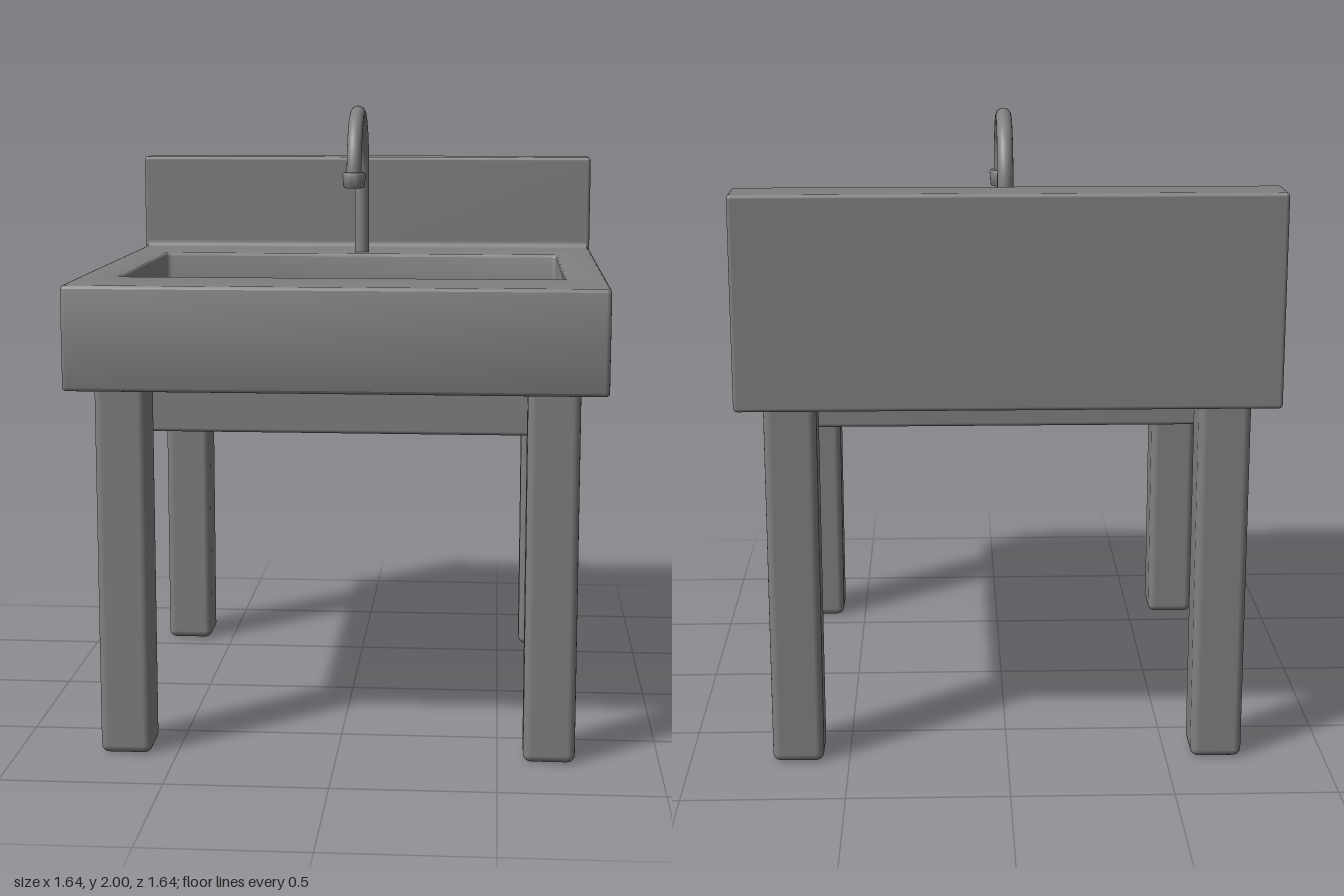
import * as THREE from 'three';
import { toCreasedNormals } from 'three/addons/utils/BufferGeometryUtils.js';
import { RoundedBoxGeometry } from 'three/addons/geometries/RoundedBoxGeometry.js';

// Rounded rectangle in the (x, -z) plane
function roundRect(target, x0, x1, z0, z1, r) {
  const y0 = -z1, y1 = -z0;
  target.moveTo(x0 + r, y0);
  target.lineTo(x1 - r, y0).quadraticCurveTo(x1, y0, x1, y0 + r);
  target.lineTo(x1, y1 - r).quadraticCurveTo(x1, y1, x1 - r, y1);
  target.lineTo(x0 + r, y1).quadraticCurveTo(x0, y1, x0, y1 - r);
  target.lineTo(x0, y0 + r).quadraticCurveTo(x0, y0, x0 + r, y0);
  return target;
}

// Horizontal slab with a rectangular opening and softened edges
function slabWithHole(outer, hole, y0, y1, bevel) {
  const shape = roundRect(new THREE.Shape(), ...outer, 0.015);
  shape.holes.push(roundRect(new THREE.Path(), ...hole, 0.015));
  const geo = new THREE.ExtrudeGeometry(shape, {
    depth: y1 - y0 - 2 * bevel, curveSegments: 4,
    bevelEnabled: true, bevelSize: bevel, bevelThickness: bevel, bevelOffset: -bevel, bevelSegments: 3,
  });
  geo.rotateX(-Math.PI / 2).translate(0, y0 + bevel, 0);
  return toCreasedNormals(geo, 0.65);
}

// Rounded box given by its limits
function block(x0, x1, y0, y1, z0, z1, r) {
  return new RoundedBoxGeometry(x1 - x0, y1 - y0, z1 - z0, 3, r)
    .translate((x0 + x1) / 2, (y0 + y1) / 2, (z0 + z1) / 2);
}

export function createModel() {
  const model = new THREE.Group();
  model.name = 'utilitySink';
  const grey = new THREE.MeshStandardMaterial({ color: 0x808080 });
  grey.name = 'grey';
  const add = (name, geo, parent = model) => {
    const mesh = new THREE.Mesh(geo, grey);
    mesh.name = name;
    parent.add(mesh);
    return mesh;
  };

  // Counter, basin and backsplash
  add('counter', slabWithHole([-0.82, 0.82, -0.74, 0.82], [-0.69, 0.69, -0.365, 0.525], 1.16, 1.48, 0.01));
  add('backsplash', block(-0.82, 0.82, 1.16, 1.81, -0.82, -0.66, 0.012));
  add('basinFloor', slabWithHole([-0.72, 0.72, -0.39, 0.55], [-0.2, 0.2, -0.24, -0.005], 1.2, 1.24, 0.006));
  add('basinUnderside', block(-0.69, 0.69, 0.99, 1.2, -0.36, 0.53, 0.012));

  // Small cove where the backsplash meets the counter
  const cove = new THREE.Shape();
  cove.moveTo(0, 0).lineTo(0.022, 0).quadraticCurveTo(0, 0, 0, 0.022);
  const coveGeo = new THREE.ExtrudeGeometry(cove, { depth: 1.62, bevelEnabled: false, curveSegments: 5 });
  coveGeo.rotateY(-Math.PI / 2).translate(0.81, 1.48, -0.66);
  add('cove', toCreasedNormals(coveGeo, 0.65));

  // Legs
  const legGeo = block(-0.08, 0.08, 0, 1.2, -0.08, 0.08, 0.025);
  for (const [sx, side] of [[1, 'Left'], [-1, 'Right']]) {
    for (const [sz, end] of [[1, 'front'], [-1, 'back']]) {
      add(`${end}${side}Leg`, legGeo).position.set(sx * 0.66, 0, sz * 0.66);
    }
  }

  // Gooseneck tap: post, half-circle spout and nozzle
  const tap = new THREE.Group();
  tap.name = 'tap';
  model.add(tap);
  const post = new THREE.CylinderGeometry(0.025, 0.025, 0.305, 24, 1, true);
  add('tapPost', post.translate(0, 1.6225, -0.455), tap);
  const spout = new THREE.TorusGeometry(0.2, 0.025, 20, 40, Math.PI);
  add('tapSpout', spout.rotateY(Math.PI / 2).translate(0, 1.775, -0.255), tap);
  const profile = [[0, 0.008], [0.024, 0.008], [0.026, 0], [0.033, 0], [0.036, 0.004],
    [0.038, 0.03], [0.039, 0.047], [0.036, 0.052], [0, 0.052]].map(([r, y]) => new THREE.Vector2(r, y));
  const nozzle = toCreasedNormals(new THREE.LatheGeometry(profile, 28), 0.65);
  add('tapNozzle', nozzle.translate(0, 1.728, -0.055), tap);

  return model;
}
